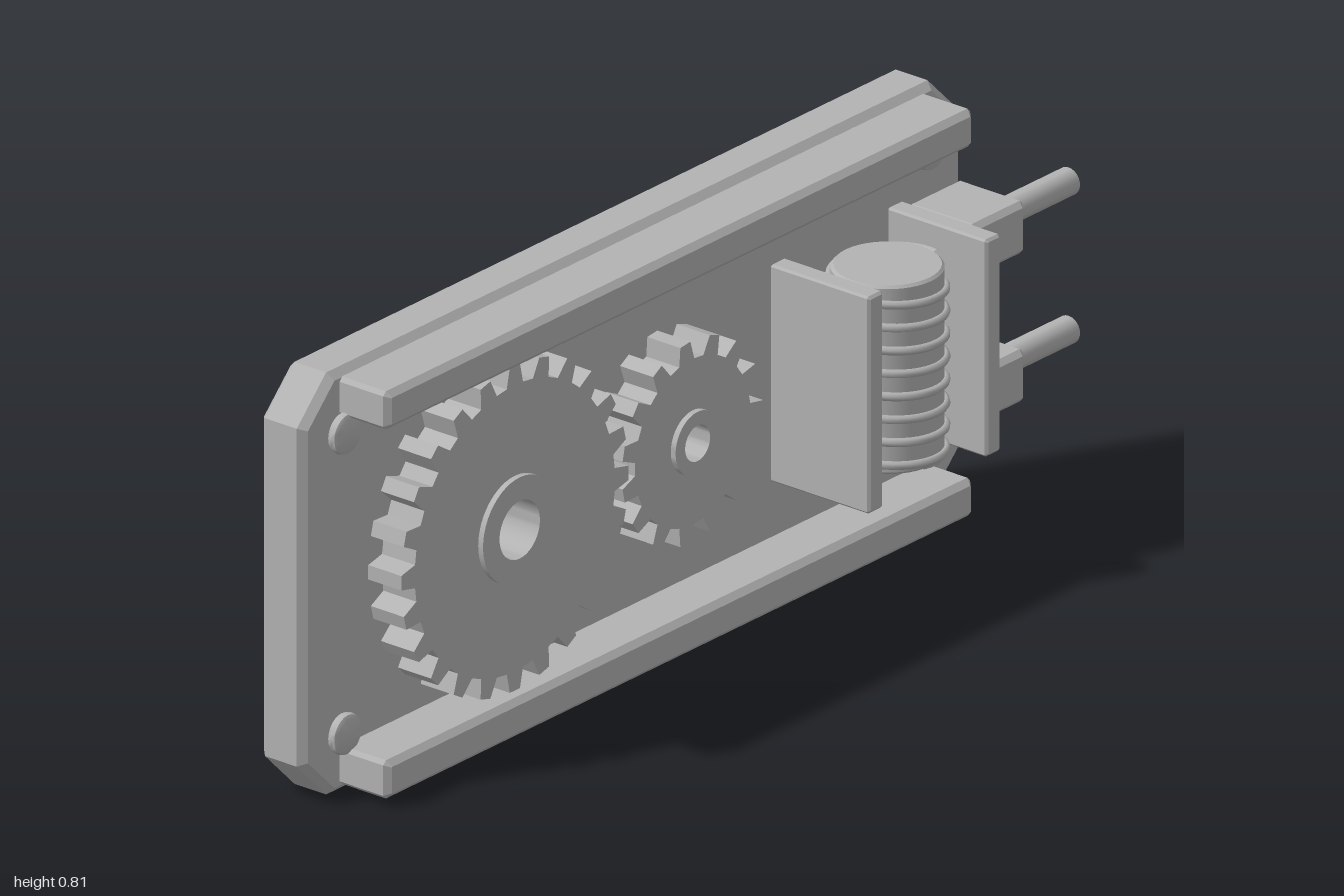
import * as THREE from 'three';
import { toCreasedNormals } from 'three/addons/utils/BufferGeometryUtils.js';

export function createModel() {
  const model = new THREE.Group();
  const grey = new THREE.MeshStandardMaterial({ color: 0xb3b3b3 });
  grey.name = 'grey metal';

  const add = (name, geometry, x = 0, y = 0, z = 0) => {
    const mesh = new THREE.Mesh(geometry, grey);
    mesh.name = name;
    mesh.position.set(x, y, z);
    model.add(mesh);
    return mesh;
  };

  // Block with cut corners (cut) and chamfered front and back edges (b)
  const block = (name, x0, x1, y0, y1, z0, z1, b, cut) => {
    const w = (x1 - x0) / 2 - b, h = (y1 - y0) / 2 - b;
    const shape = new THREE.Shape([
      [w, -h + cut], [w, h - cut], [w - cut, h], [-w + cut, h],
      [-w, h - cut], [-w, -h + cut], [-w + cut, -h], [w - cut, -h],
    ].map(([x, y]) => new THREE.Vector2(x, y)));
    const geometry = new THREE.ExtrudeGeometry(shape, {
      depth: z1 - z0 - 2 * b, bevelThickness: b, bevelSize: b, bevelSegments: 1,
    });
    return add(name, geometry, (x0 + x1) / 2, (y0 + y1) / 2, z0 + b);
  };

  // Spur gear with a raised hub ring and an open bore
  const gear = (name, x, y, teeth, root, outer, hub, bore) => {
    const points = [];
    const step = (Math.PI * 2) / teeth;
    for (let i = 0; i < teeth; i++) {
      for (const [r, f] of [[root, -0.31], [outer, -0.17], [outer, 0.17], [root, 0.31]]) {
        const a = (i + f) * step;
        points.push(new THREE.Vector2(r * Math.cos(a), r * Math.sin(a)));
      }
    }
    const disc = new THREE.Shape(points);
    disc.holes.push(new THREE.Path().absarc(0, 0, bore, 0, Math.PI * 2, true));
    const body = new THREE.ExtrudeGeometry(disc, { depth: 0.075, bevelEnabled: false, curveSegments: 24 });
    add(name, toCreasedNormals(body, 0.4), x, y, -0.05);
    const ring = new THREE.Shape().absarc(0, 0, hub, 0, Math.PI * 2, false);
    ring.holes.push(new THREE.Path().absarc(0, 0, bore, 0, Math.PI * 2, true));
    const collar = new THREE.ExtrudeGeometry(ring, { depth: 0.1, bevelEnabled: false, curveSegments: 24 });
    add(name + 'Hub', toCreasedNormals(collar, 0.4), x, y, -0.064);
  };

  // Base plate and the two long rails
  block('basePlate', -1, 0.8, 0, 0.805, -0.165, -0.065, 0.014, 0.072);
  block('lowerRail', -0.9, 0.7, 0.015, 0.088, -0.08, 0.045, 0.011, 0.001);
  block('upperRail', -0.9, 0.7, 0.719, 0.792, -0.08, 0.045, 0.011, 0.001);

  // Meshing gears
  gear('largeGear', -0.53, 0.405, 24, 0.273, 0.31, 0.1, 0.055);
  gear('smallGear', -0.045, 0.405, 15, 0.158, 0.193, 0.06, 0.034);

  // Side walls holding the worm
  block('innerWall', 0.27, 0.31, 0.197, 0.611, -0.064, 0.163, 0.005, 0.001);
  block('outerWall', 0.59, 0.63, 0.197, 0.611, -0.064, 0.163, 0.005, 0.001);

  // Worm core with a helical thread
  const coreProfile = [[0, -0.18], [0.095, -0.18], [0.1, -0.175], [0.1, 0.175], [0.095, 0.18], [0, 0.18]]
    .map(([r, y]) => new THREE.Vector2(r, y));
  add('wormCore', toCreasedNormals(new THREE.LatheGeometry(coreProfile, 40), 0.4), 0.45, 0.405, 0.055);

  class Helix extends THREE.Curve {
    getPoint(t, target = new THREE.Vector3()) {
      const turn = -0.8 + 8.05 * t, a = turn * Math.PI * 2;
      return target.set(0.102 * Math.sin(a), 0.545 - 0.0437 * turn, 0.102 * Math.cos(a));
    }
  }
  add('wormThread', new THREE.TubeGeometry(new Helix(), 320, 0.008, 8), 0.45, 0, 0.055);

  // Terminal blocks with round pins pointing sideways
  const pinProfile = [[0, 0], [0.026, 0], [0.026, 0.243], [0.019, 0.25], [0, 0.25]]
    .map(([r, y]) => new THREE.Vector2(r, y));
  for (const y of [0.263, 0.546]) {
    block('terminalBlock', 0.65, 0.793, y - 0.05, y + 0.05, -0.07, 0.085, 0.01, 0.001);
    const pin = add('terminalPin', toCreasedNormals(new THREE.LatheGeometry(pinProfile, 24), 0.4), 0.75, y, 0.014);
    pin.rotation.z = -Math.PI / 2;
  }

  // Round-edged screws in the plate corners
  const screwProfile = [[0, -0.012], [0.03, -0.012], [0.037, -0.007], [0.039, 0], [0.037, 0.007], [0.03, 0.011], [0, 0.012]]
    .map(([r, y]) => new THREE.Vector2(r, y));
  for (const x of [-0.9, 0.695]) {
    for (const y of [0.117, 0.69]) {
      const screw = add('screw', toCreasedNormals(new THREE.LatheGeometry(screwProfile, 24), 0.7), x, y, -0.053);
      screw.rotation.x = Math.PI / 2;
    }
  }

  return model;
}
